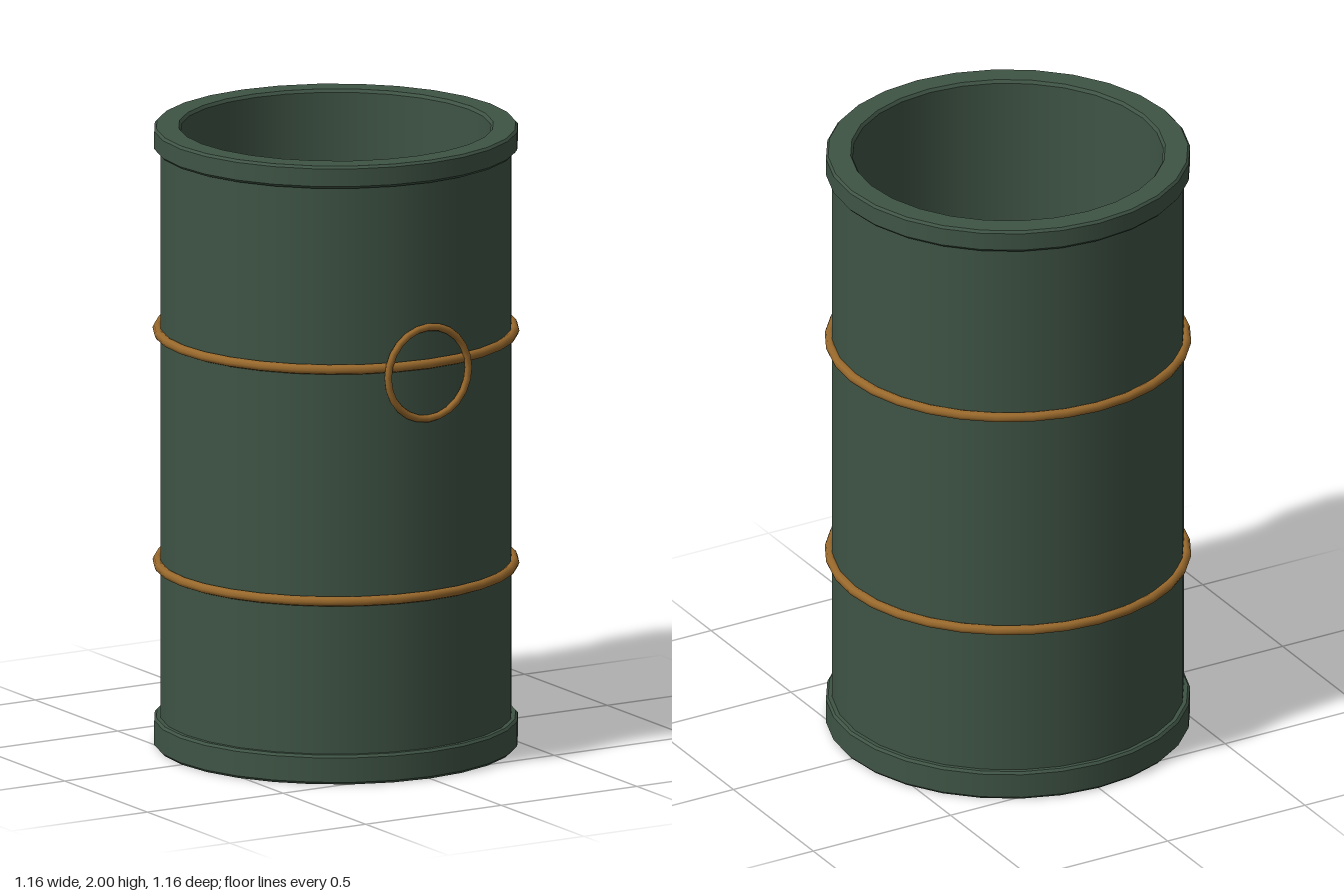
import * as THREE from 'three';

const SIDES = 28;

export function createModel() {
  const green = new THREE.MeshStandardMaterial({ color: 0x3f5445 });
  green.name = 'dark green paint';
  const dark = new THREE.MeshStandardMaterial({ color: 0x232f31 });
  dark.name = 'dark interior';
  const brass = new THREE.MeshStandardMaterial({ color: 0x99692c });
  brass.name = 'aged brass';

  const group = new THREE.Group();
  group.name = 'barrel';
  const add = (name, geometry, material, x = 0, y = 0, z = 0) => {
    const mesh = new THREE.Mesh(geometry, material);
    mesh.name = name;
    mesh.position.set(x, y, z);
    group.add(mesh);
    return mesh;
  };

  // Lathe whose corners stay sharp: each profile segment gets its own band
  const lathe = (name, points, material) => {
    for (let i = 0; i < points.length - 1; i++) {
      const pair = [points[i], points[i + 1]].map(([r, y]) => new THREE.Vector2(r, y));
      add(name, new THREE.LatheGeometry(pair, SIDES), material);
    }
  };

  // Open drum: outer wall and inner wall
  lathe('outerWall', [[0.555, 0.05], [0.555, 1.96]], green);
  lathe('innerWall', [[0.49, 1.99], [0.49, 0.06]], green);

  // Bevelled rim at the top
  lathe('topRim', [
    [0.55, 1.927], [0.568, 1.927], [0.575, 1.935], [0.575, 1.992],
    [0.568, 2], [0.497, 2], [0.49, 1.99],
  ], green);

  // Bevelled foot with closed underside
  lathe('foot', [
    [0, 0], [0.568, 0], [0.575, 0.008], [0.575, 0.087], [0.568, 0.095], [0.55, 0.095],
  ], green);

  // Dark floor inside
  const floor = add('floor', new THREE.CircleGeometry(0.492, SIDES), dark, 0, 0.06, 0);
  floor.rotation.x = -Math.PI / 2;

  // Two brass hoops
  for (const y of [0.59, 1.34]) {
    const hoop = add('hoop', new THREE.TorusGeometry(0.562, 0.016, 8, 32), brass, 0, y, 0);
    hoop.rotation.x = Math.PI / 2;
  }

  // Ring on the front
  add('frontRing', new THREE.TorusGeometry(0.148, 0.012, 8, 24), brass, 0, 1.31, 0.558);

  return group;
}
